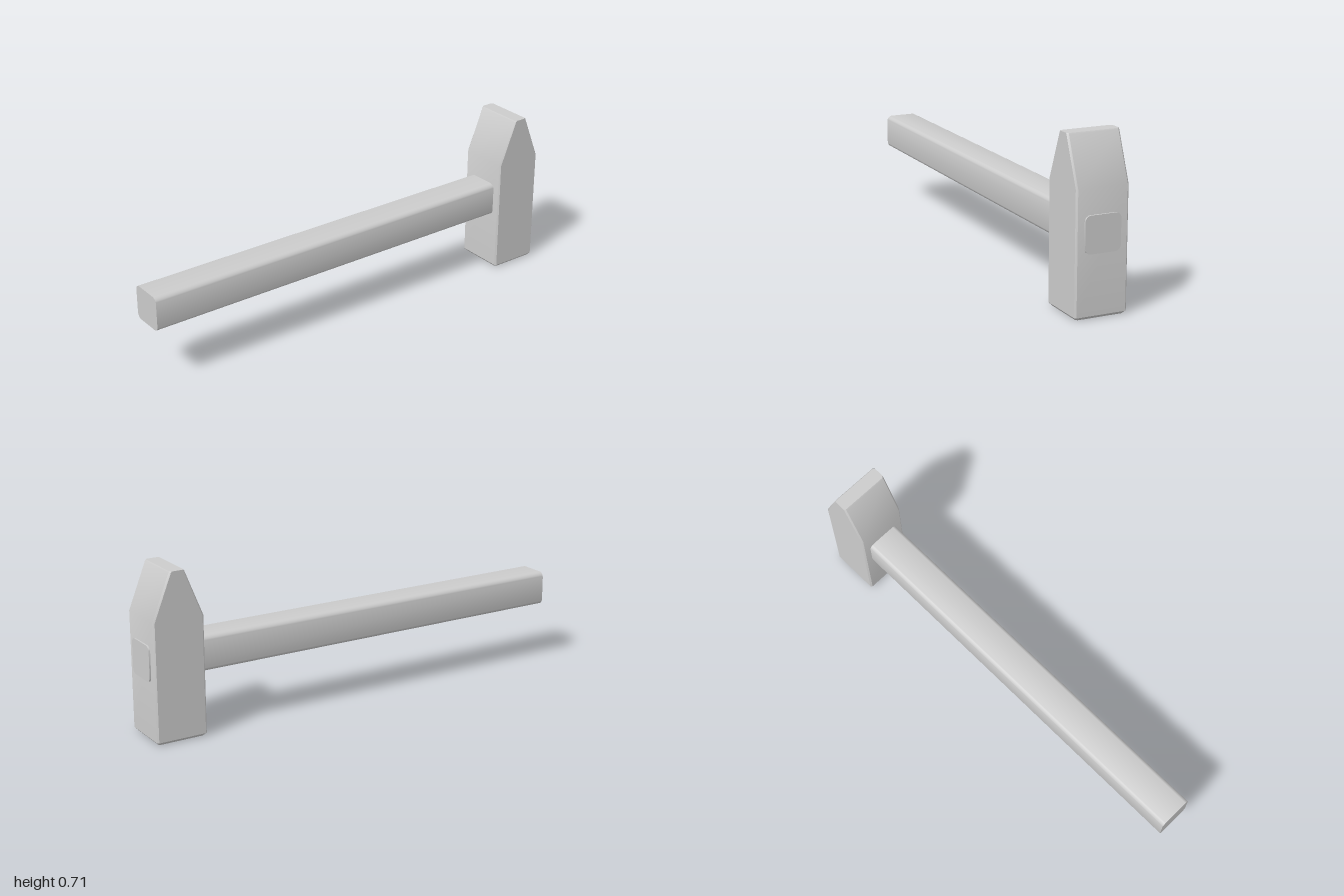
import * as THREE from 'three';
import { toCreasedNormals } from 'three/addons/utils/BufferGeometryUtils.js';

const material = new THREE.MeshStandardMaterial({ color: 0xcccccc });
const CREASE = 0.55;

// Rectangle with cut corners, lying flat at height y
function chamferedRing(y, hx, hz, c) {
  return [
    [hx, -hz + c], [hx, hz - c], [hx - c, hz], [-hx + c, hz],
    [-hx, hz - c], [-hx, -hz + c], [-hx + c, -hz], [hx - c, -hz],
  ].map(([x, z]) => [x, y, z]);
}

// Joins rings from bottom to top and caps both ends
function loft(rings) {
  const n = rings[0].length;
  const index = [];
  for (let r = 0; r < rings.length - 1; r++) {
    for (let i = 0; i < n; i++) {
      const a = r * n + i;
      const b = r * n + (i + 1) % n;
      index.push(a, a + n, b, b, a + n, b + n);
    }
  }
  const top = (rings.length - 1) * n;
  for (let i = 1; i < n - 1; i++) {
    index.push(0, i, i + 1);
    index.push(top, top + i + 1, top + i);
  }
  const geometry = new THREE.BufferGeometry();
  geometry.setAttribute('position', new THREE.Float32BufferAttribute(rings.flat(2), 3));
  geometry.setIndex(index);
  return toCreasedNormals(geometry, CREASE);
}

function roundedRect(hx, hy, r) {
  const s = new THREE.Shape();
  s.absarc(hx - r, hy - r, r, 0, Math.PI / 2);
  s.absarc(-hx + r, hy - r, r, Math.PI / 2, Math.PI);
  s.absarc(-hx + r, -hy + r, r, Math.PI, Math.PI * 1.5);
  s.absarc(hx - r, -hy + r, r, Math.PI * 1.5, Math.PI * 2);
  s.closePath();
  return s;
}

export function createModel() {
  const model = new THREE.Group();
  model.name = 'hammer';

  // Head: bevelled striking face at the bottom, wedge-shaped peen at the top
  const head = new THREE.Mesh(loft([
    chamferedRing(0, 0.101, 0.102, 0.007),
    chamferedRing(0.012, 0.112, 0.113, 0.007),
    chamferedRing(0.515, 0.112, 0.113, 0.007),
    chamferedRing(0.71, 0.034, 0.113, 0.007),
    chamferedRing(0.715, 0.03, 0.113, 0.007),
  ]), material);
  head.name = 'head';
  head.position.x = 0.881;
  model.add(head);

  // Handle: rounded square bar passing right through the head
  const bar = new THREE.ExtrudeGeometry(roundedRect(0.077, 0.076, 0.024), {
    depth: 2, bevelEnabled: false, curveSegments: 3,
  });
  bar.rotateY(Math.PI / 2);
  const handle = new THREE.Mesh(toCreasedNormals(bar, CREASE), material);
  handle.name = 'handle';
  handle.position.set(-1, 0.336, 0);
  model.add(handle);

  return model;
}
